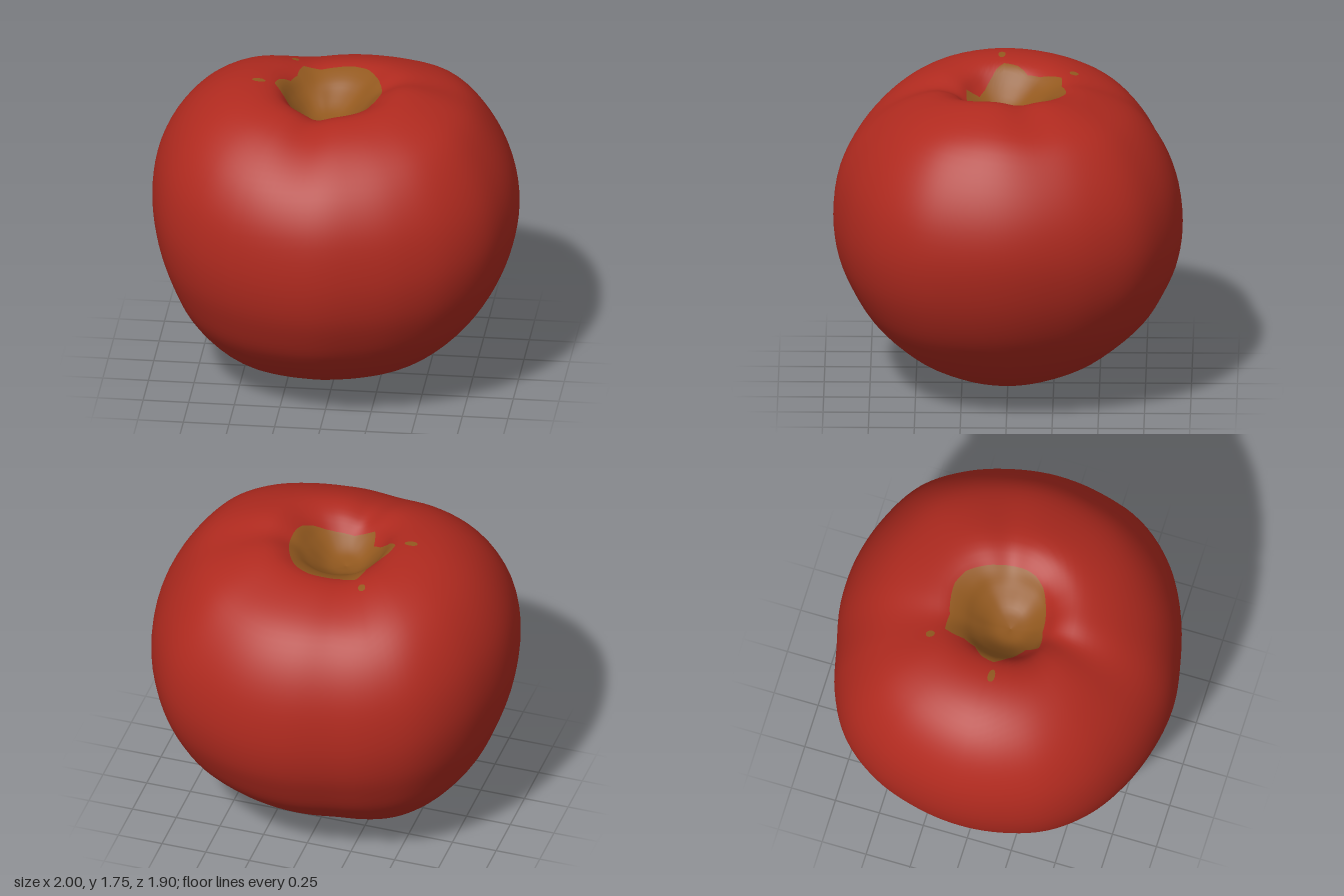
import * as THREE from 'three';

const SEG = 120, BODY_ROWS = 56, PIT_ROWS = 14, TAU = Math.PI * 2;

// Outline seen from above and edge of the stem pit: one radius per 15 degrees, from +x towards +z
const OUTLINE = [1, 1.005, 1.02, 1.005, 0.97, 0.945, 0.95, 0.952, 0.97, 1, 1.015, 1.005,
  1, 1, 1.01, 1.005, 0.965, 0.93, 0.95, 0.975, 1, 1.028, 1.015, 1];
const PIT_EDGE = [0.28, 0.27, 0.25, 0.22, 0.2, 0.19, 0.185, 0.205, 0.23, 0.18, 0.2, 0.24,
  0.3, 0.29, 0.26, 0.28, 0.36, 0.325, 0.335, 0.35, 0.345, 0.32, 0.3, 0.29];

// Profile from the bottom tip, over the shoulder, into the pit: radius, and height in four directions
const RADIUS = [0, 0.08, 0.2, 0.4, 0.6, 0.8, 0.9, 0.97, 1, 0.97, 0.88, 0.75, 0.58, 0.4, 0.28, 0.2, 0.1, 0];
const HEIGHT = [
  [0, 0.005, 0.03, 0.11, 0.23, 0.44, 0.61, 0.81, 1.03, 1.24, 1.45, 1.62, 1.71, 1.745, 1.69, 1.61, 1.53, 1.51], // +x
  [0, 0.006, 0.035, 0.12, 0.23, 0.41, 0.57, 0.74, 0.95, 1.2, 1.39, 1.53, 1.64, 1.69, 1.66, 1.59, 1.53, 1.51], // +z
  [0, 0.004, 0.02, 0.08, 0.2, 0.42, 0.62, 0.83, 1.07, 1.3, 1.49, 1.63, 1.72, 1.745, 1.715, 1.62, 1.53, 1.51], // -x
  [0, 0.006, 0.04, 0.13, 0.25, 0.43, 0.59, 0.75, 0.95, 1.2, 1.41, 1.56, 1.65, 1.69, 1.65, 1.59, 1.53, 1.51], // -z
];
// Shallow grooves running out from the pit: angle, depth, width
const GROOVES = [[1.74, 0.03, 0.25], [-0.25, 0.025, 0.25], [4.35, 0.02, 0.3]];
const GROOVE_FADE = { 10: 0.3, 11: 0.6, 12: 0.9, 13: 1, 14: 0.7 };

function sampleRing(table, angle, smooth) {
  const n = table.length;
  const t = (((angle / TAU) % 1) + 1) % 1 * n;
  const i = Math.floor(t), f = t - i;
  const at = (k) => table[(i + k + n) % n];
  if (!smooth) return at(0) + (at(1) - at(0)) * f;
  const a = at(-1), b = at(0), c = at(1), d = at(2);
  return b + 0.5 * f * (c - a + f * (2 * a - 5 * b + 4 * c - d + f * (3 * (b - c) + d - a)));
}

// Smooth profile curve (radius, height) at one angle
function profileAt(angle) {
  const outline = sampleRing(OUTLINE, angle, true);
  return new THREE.CatmullRomCurve3(RADIUS.map((r, k) => {
    let y = 0;
    HEIGHT.forEach((h, dir) => {
      y += h[k] * Math.max(0, Math.cos(angle - dir * Math.PI / 2)) ** 2;
    });
    for (const [centre, depth, width] of GROOVES) {
      const d = Math.atan2(Math.sin(angle - centre), Math.cos(angle - centre));
      y -= depth * (GROOVE_FADE[k] || 0) * Math.exp(-((d / width) ** 2));
    }
    return new THREE.Vector3(r * outline, y, 0);
  }));
}

// Curve parameter where the inward slope reaches a given radius
function findRadius(curve, radius) {
  let lo = 0.55, hi = 1;
  for (let i = 0; i < 24; i++) {
    const mid = (lo + hi) / 2;
    if (curve.getPoint(mid).x > radius) lo = mid; else hi = mid;
  }
  return lo;
}

// Place a profile point in space; the tip and the pit sit a little off centre
function surfacePoint(curve, u, angle) {
  const p = curve.getPoint(u);
  const shift = Math.max(0, 1 - p.x);
  const top = THREE.MathUtils.smoothstep(u, 0.3, 0.6);
  const cx = -0.08 + 0.03 * top, cz = 0.035 * top;
  return new THREE.Vector3(cx * shift + p.x * Math.cos(angle), p.y, cz * shift + p.x * Math.sin(angle));
}

// Small fleck of pit colour lying on the skin
function makeFleck(angle, radius, along, across, material) {
  const n = 12, positions = [], index = [];
  const add = (a, r) => {
    const curve = profileAt(a);
    const p = surfacePoint(curve, findRadius(curve, r), a);
    positions.push(p.x, p.y + 0.003, p.z);
  };
  add(angle, radius);
  for (let i = 0; i < n; i++) {
    const t = i / n * TAU;
    add(angle + across * Math.sin(t) / radius, radius + along * Math.cos(t));
    index.push(0, 1 + (i + 1) % n, 1 + i);
  }
  const geometry = new THREE.BufferGeometry();
  geometry.setAttribute('position', new THREE.Float32BufferAttribute(positions, 3));
  geometry.setIndex(index);
  geometry.computeVertexNormals();
  const mesh = new THREE.Mesh(geometry, material);
  mesh.name = 'fleck';
  return mesh;
}

export function createModel() {
  const skinRed = new THREE.MeshStandardMaterial({ color: 0xb02a1f });
  skinRed.name = 'skinRed';
  const pitBrown = new THREE.MeshStandardMaterial({ color: 0x93591f });
  pitBrown.name = 'pitBrown';

  // One grid of rings from tip to pit floor, so normals run smoothly across the colour edge
  const rows = BODY_ROWS + PIT_ROWS;
  const positions = new Float32Array((rows + 1) * SEG * 3);
  for (let j = 0; j < SEG; j++) {
    const angle = j / SEG * TAU;
    const curve = profileAt(angle);
    const edge = findRadius(curve, sampleRing(PIT_EDGE, angle, false));
    for (let i = 0; i <= rows; i++) {
      const u = i <= BODY_ROWS ? edge * i / BODY_ROWS : edge + (1 - edge) * (i - BODY_ROWS) / PIT_ROWS;
      surfacePoint(curve, u, angle).toArray(positions, (i * SEG + j) * 3);
    }
  }
  const gridIndex = (from, to) => {
    const index = [];
    for (let i = from; i < to; i++) {
      for (let j = 0; j < SEG; j++) {
        const a = i * SEG + j, c = i * SEG + (j + 1) % SEG;
        index.push(a, a + SEG, c, c, a + SEG, c + SEG);
      }
    }
    return index;
  };
  const whole = new THREE.BufferGeometry();
  whole.setAttribute('position', new THREE.BufferAttribute(positions, 3));
  whole.setIndex(gridIndex(0, rows));
  whole.computeVertexNormals();

  const group = new THREE.Group();
  group.name = 'fruit';
  const addPart = (name, from, to, material) => {
    const geometry = whole.clone();
    geometry.setIndex(gridIndex(from, to));
    const mesh = new THREE.Mesh(geometry, material);
    mesh.name = name;
    group.add(mesh);
  };
  addPart('skin', 0, BODY_ROWS, skinRed);
  addPart('stemPit', BODY_ROWS, rows, pitBrown);

  group.add(makeFleck(4.15, 0.445, 0.025, 0.02, pitBrown));
  group.add(makeFleck(3.1, 0.39, 0.04, 0.02, pitBrown));
  return group;
}
